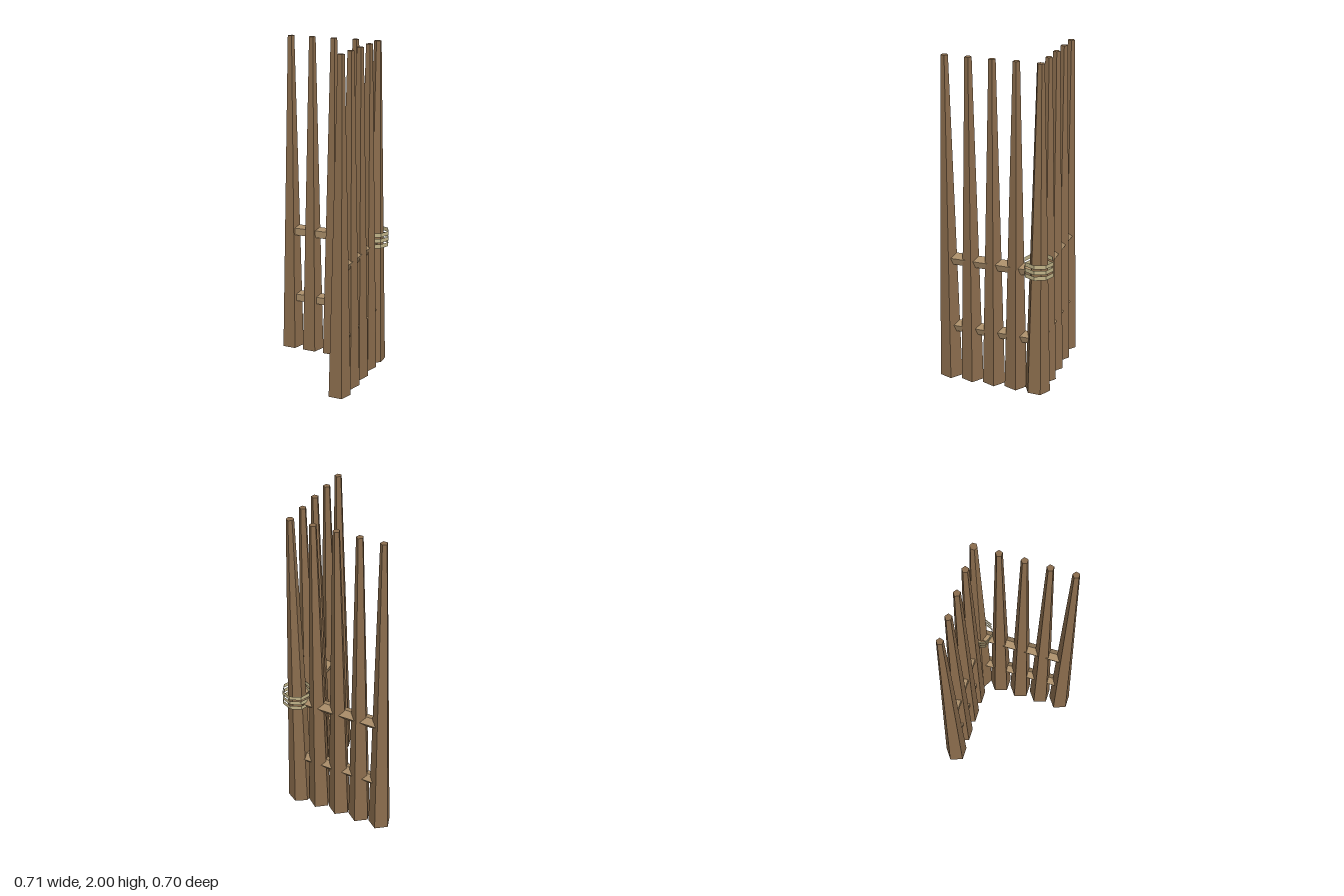
import * as THREE from 'three';

export function createModel() {
  const group = new THREE.Group();
  const mat = (name, color, side = THREE.FrontSide) => {
    const m = new THREE.MeshStandardMaterial({ color, flatShading: true, side });
    m.name = name;
    return m;
  };
  const postWood = mat('post wood', 0x8b6d4d);
  const railWood = mat('rail wood', 0xa88c68);
  const rope = mat('rope', 0xc2b58a, THREE.DoubleSide);

  const add = (name, geometry, material, x, y, z) => {
    const mesh = new THREE.Mesh(geometry, material);
    mesh.name = name;
    mesh.position.set(x, y, z);
    group.add(mesh);
    return mesh;
  };

  const cx = 0.266, cz = -0.265, step = 0.139;

  // Tapered stakes: two rows of four meeting at a corner, a vertex of each pointing back
  const stake = new THREE.CylinderGeometry(0.021, 0.07, 2, 5).rotateY(Math.PI);
  for (let i = 1; i <= 4; i++) {
    add('backStake', stake, postWood, cx - step * i, 1, cz);
    add('sideStake', stake, postWood, cx, 1, cz + step * i);
  }

  // Six-sided corner post
  add('cornerPost', new THREE.CylinderGeometry(0.022, 0.077, 2, 6), postWood, cx, 1, cz);

  // Five-sided rails running through both rows at two heights
  const length = step * 4;
  const rail = new THREE.CylinderGeometry(0.038, 0.038, length, 5).rotateY(Math.PI);
  const backRail = rail.clone().rotateZ(Math.PI / 2);
  const sideRail = rail.clone().rotateX(Math.PI / 2);
  for (const y of [0.34, 0.78]) {
    add('backRail', backRail, railWood, cx - length / 2, y, cz);
    add('sideRail', sideRail, railWood, cx, y, cz + length / 2);
  }

  // Three open rope bands around the corner post
  const band = new THREE.CylinderGeometry(0.088, 0.088, 0.025, 8, 1, true);
  for (const y of [0.77, 0.805, 0.84]) add('ropeBand', band, rope, cx, y, cz);

  return group;
}
